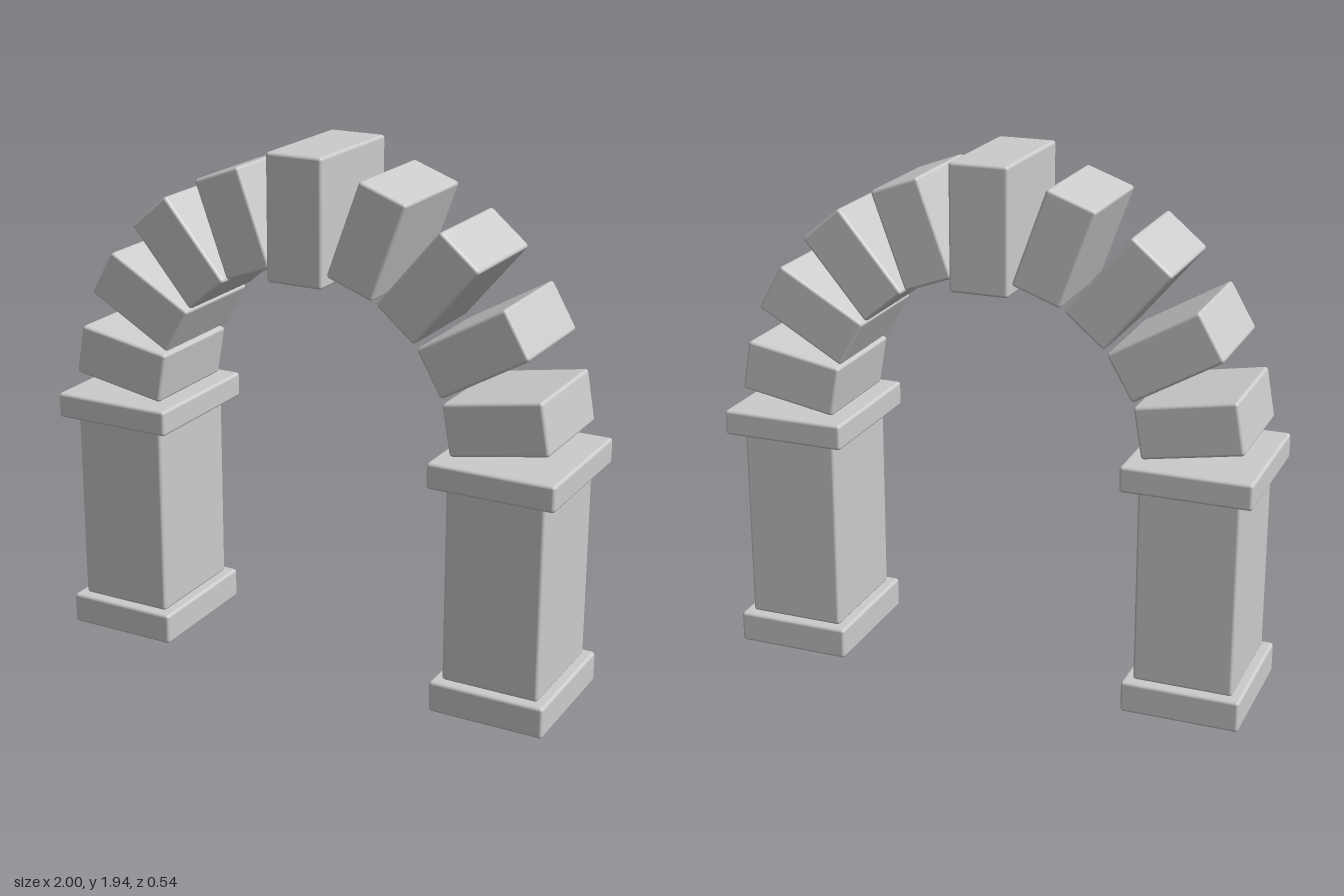
import * as THREE from 'three';
import { RoundedBoxGeometry } from 'three/addons/geometries/RoundedBoxGeometry.js';

const stone = new THREE.MeshStandardMaterial({ color: 0xcccccc });

// Stone block with softly worn edges
function block(name, w, h, d, x, y) {
  const mesh = new THREE.Mesh(new RoundedBoxGeometry(w, h, d, 2, 0.012), stone);
  mesh.name = name;
  mesh.position.set(x, y, 0);
  return mesh;
}

export function createModel() {
  const arch = new THREE.Group();
  arch.name = 'stoneArch';
  const radius = 0.765, springY = 0.95;

  // Pillars: plinth, shaft and capital on each side
  for (const [side, s] of [['left', 1], ['right', -1]]) {
    const pillar = new THREE.Group();
    pillar.name = side + 'Pillar';
    pillar.position.x = s * radius;
    pillar.add(
      block('plinth', 0.435, 0.118, 0.505, 0, 0.059),
      block('shaft', 0.365, 0.74, 0.437, 0, 0.488),
      block('capital', 0.47, 0.096, 0.54, 0, 0.9)
    );
    arch.add(pillar);
  }

  // Ring of wedge stones, with a larger keystone at the crown
  for (let i = 0; i < 9; i++) {
    const a = THREE.MathUtils.degToRad(10 + i * 20);
    const key = i === 4;
    const stoneBlock = block(
      key ? 'keystone' : 'archStone' + (i + 1),
      key ? 0.457 : 0.37, key ? 0.218 : 0.19, key ? 0.472 : 0.42,
      Math.cos(a) * radius, springY + Math.sin(a) * radius
    );
    stoneBlock.rotation.z = a;
    arch.add(stoneBlock);
  }
  return arch;
}
